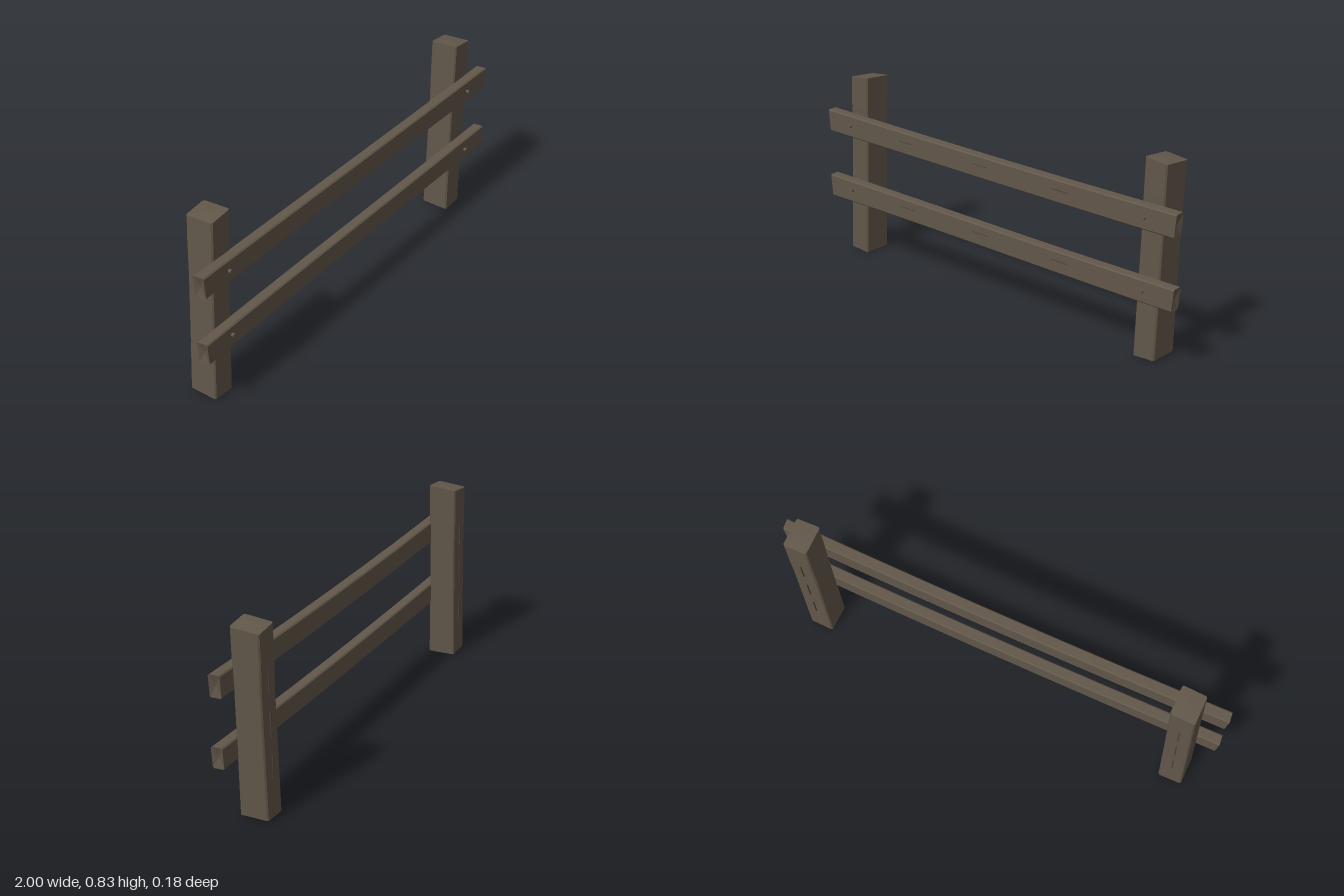
import * as THREE from 'three';

const wood = new THREE.MeshStandardMaterial({ color: 0x62574a, flatShading: true });
wood.name = 'weathered wood';
const dark = new THREE.MeshStandardMaterial({ color: 0x4a4137 });
dark.name = 'dark wood';

// Chamfered rectangle, counter-clockwise, as [u, v] offsets from its middle
function section(hu, hv, c) {
  return [
    [hu, -hv + c], [hu, hv - c], [hu - c, hv], [-hu + c, hv],
    [-hu, hv - c], [-hu, -hv + c], [-hu + c, -hv], [hu - c, -hv],
  ];
}

// Skin a list of rings and close both ends with a fan around a centre point
function loft(rings, startCentre, endCentre) {
  const n = rings[0].length;
  const pos = [];
  const tri = (...points) => points.forEach((p) => pos.push(...p));
  for (let i = 0; i < rings.length - 1; i++) {
    for (let j = 0; j < n; j++) {
      const k = (j + 1) % n;
      const a = rings[i][j], b = rings[i][k], c = rings[i + 1][k], d = rings[i + 1][j];
      tri(a, b, c);
      tri(a, c, d);
    }
  }
  const last = rings[rings.length - 1];
  for (let j = 0; j < n; j++) {
    const k = (j + 1) % n;
    tri(startCentre, rings[0][k], rings[0][j]);
    tri(endCentre, last[j], last[k]);
  }
  const geometry = new THREE.BufferGeometry();
  geometry.setAttribute('position', new THREE.Float32BufferAttribute(pos, 3));
  geometry.computeVertexNormals();
  return geometry;
}

// Leaning post: u runs along z, v along x; slant tilts the sawn top
function post(x0, x1, slant) {
  const heights = [0.008, 0.15, 0.28, 0.55, 0.69, 0.822];
  const bow = [0, 0.001, -0.002, -0.003, 0, 0];
  const rings = heights.map((y, i) => {
    const t = i / (heights.length - 1);
    const cx = THREE.MathUtils.lerp(x0, x1, (y - 0.008) / 0.814);
    return section(0.063 - Math.abs(bow[i]), 0.053, 0.006).map(([u, v]) => {
      const tilt = t === 1 ? v * slant + u * 0.06 : t === 0 ? -v * slant * 0.6 - u * 0.04 : 0;
      return [cx + v, y + tilt, -0.022 + u];
    });
  });
  return loft(rings, [x0, 0.012, -0.022], [x1, 0.826, -0.022]);
}

// Bowed rail: u runs along y, v along z; low/high are [left, middle, right]
function rail(low, high) {
  const curve = (p, x) => p[1] + (x < 0 ? p[0] - p[1] : p[2] - p[1]) * x * x;
  const stations = [-0.992, -0.8, -0.5, -0.2, 0.1, 0.4, 0.7, 0.992];
  const rings = stations.map((x, i) => {
    const bottom = curve(low, x), top = curve(high, x);
    const z = 0.053 + 0.007 * x * x;
    const end = i === 0 ? -1 : i === stations.length - 1 ? 1 : 0;
    return section((top - bottom) / 2, 0.024, 0.005).map(([u, v]) =>
      [x + (end ? u * 0.1 * end + v * 0.1 : 0), (top + bottom) / 2 + u, z + v]);
  });
  const mid = (i) => (curve(low, stations[i]) + curve(high, stations[i])) / 2;
  return loft(rings, [-0.982, mid(0), 0.06], [0.982, mid(7), 0.06]);
}

export function createModel() {
  const model = new THREE.Group();
  const add = (name, geometry, material, x = 0, y = 0, z = 0) => {
    const mesh = new THREE.Mesh(geometry, material);
    mesh.name = name;
    mesh.position.set(x, y, z);
    model.add(mesh);
    return mesh;
  };

  // Posts
  add('rightPost', post(-0.861, -0.829, 0.1), wood);
  add('leftPost', post(0.826, 0.858, -0.1), wood);

  // Rails
  add('upperRail', rail([0.555, 0.551, 0.558], [0.655, 0.647, 0.657]), wood);
  add('lowerRail', rail([0.246, 0.251, 0.26], [0.347, 0.345, 0.356]), wood);

  // Pegs and shallow grain splits on the rail fronts
  const peg = new THREE.CylinderGeometry(0.008, 0.008, 0.03, 8).rotateX(Math.PI / 2);
  const railSplit = new THREE.BoxGeometry(0.09, 0.003, 0.004);
  for (const y of [0.607, 0.307]) {
    for (const x of [-0.845, 0.845]) add('peg', peg, wood, x, y, 0.08);
    for (const x of [-0.49, -0.04, 0.41]) {
      add('railSplit', railSplit, dark, x, y - 0.001, 0.0762 + 0.007 * x * x);
    }
  }

  // Grain splits up the backs of the posts, following their lean
  const postSplit = new THREE.BoxGeometry(0.004, 0.1, 0.006);
  for (const x of [-0.845, 0.842]) {
    for (const y of [0.23, 0.415, 0.602]) {
      const split = add('postSplit', postSplit, dark, x + (y - 0.415) * 0.04, y, -0.085);
      split.rotation.z = -0.04;
    }
  }
  return model;
}
